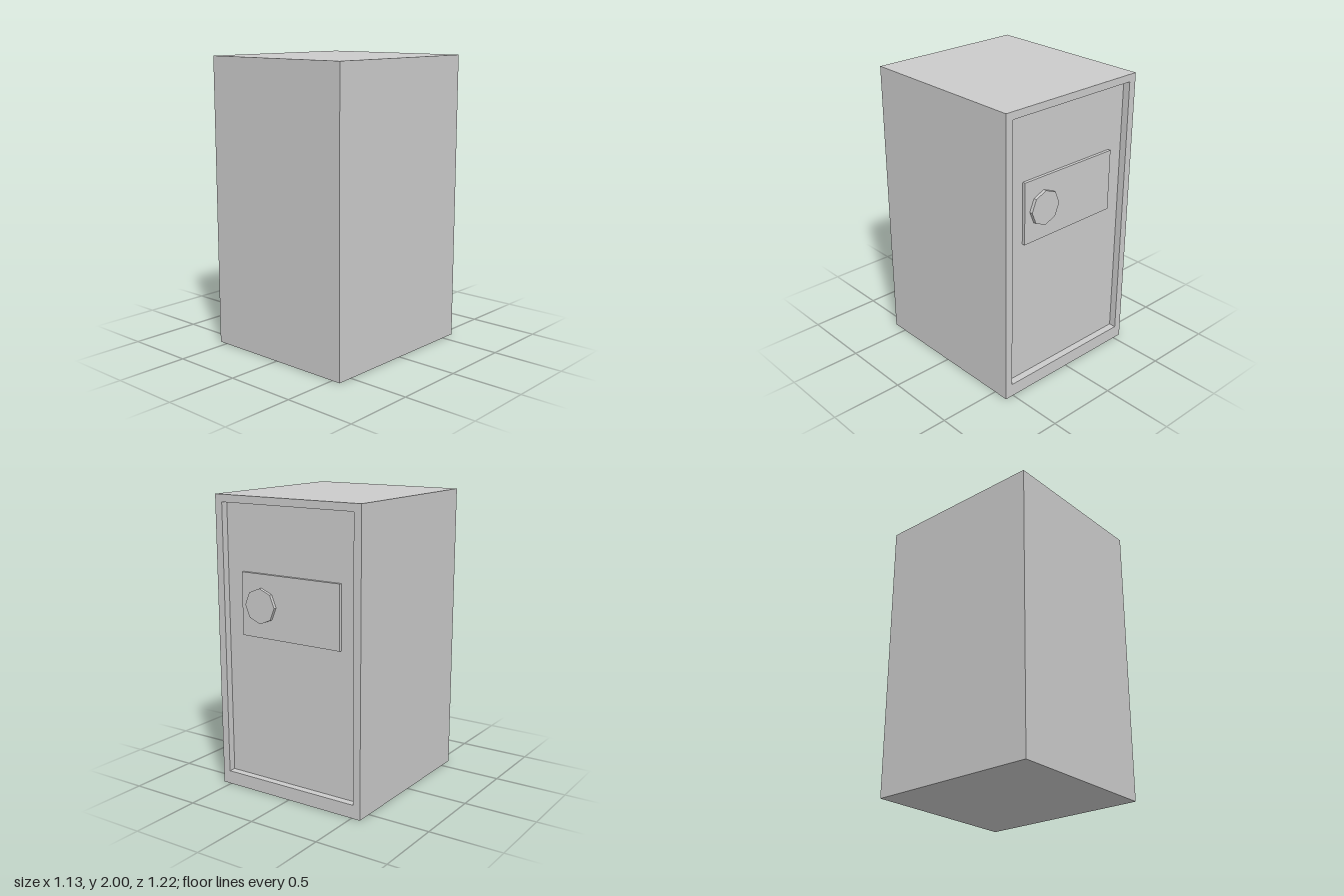
import * as THREE from 'three';

const W = 1.126, H = 2, D = 1.216;   // overall size
const RECESS = 0.05;                 // depth of the door opening
const BACK = -D / 2;                 // plane of the door rim
const DOOR = BACK + RECESS;          // plane of the door panel

export function createModel() {
  const model = new THREE.Group();
  model.name = 'safe';
  const grey = new THREE.MeshStandardMaterial({ color: 0xcccccc, flatShading: true });

  const add = (name, geometry, x, y, z) => {
    const mesh = new THREE.Mesh(geometry, grey);
    mesh.name = name;
    mesh.position.set(x, y, z);
    model.add(mesh);
    return mesh;
  };

  const rectangle = (PathType, x0, y0, x1, y1) =>
    new PathType([[x0, y0], [x1, y0], [x1, y1], [x0, y1]].map(p => new THREE.Vector2(...p)));

  // Cabinet block; its -z face is the sunken door panel
  add('cabinet', new THREE.BoxGeometry(W, H, D - RECESS), 0, H / 2, RECESS / 2);

  // Rim around the door, wider along the bottom
  const rim = rectangle(THREE.Shape, -W / 2, 0, W / 2, H);
  rim.holes.push(rectangle(THREE.Path, -W / 2 + 0.054, 0.092, W / 2 - 0.054, H - 0.05));
  add('doorRim', new THREE.ExtrudeGeometry(rim, { depth: RECESS, bevelEnabled: false }), 0, 0, BACK);

  // Raised control plate on the door
  const plate = 0.021;
  add('controlPlate', new THREE.BoxGeometry(0.77, 0.425, plate), -0.005, 1.29, DOOR - plate / 2);

  // Eight-sided dial with corners up, down and to the sides
  const dial = 0.022;
  add('dial', new THREE.CylinderGeometry(0.118, 0.118, dial, 8), 0.22, 1.293, DOOR - plate - dial / 2)
    .rotation.x = -Math.PI / 2;

  return model;
}
